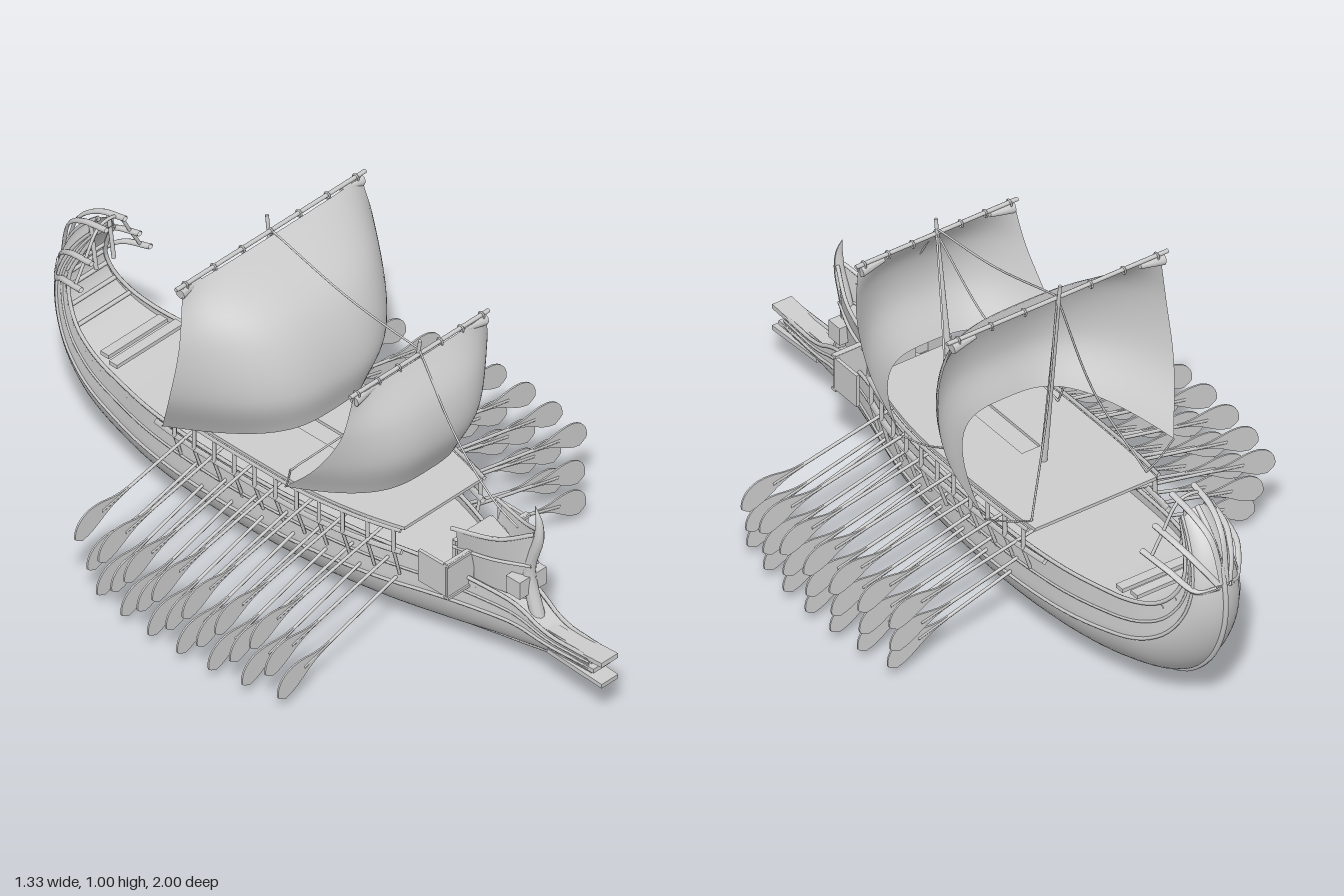
import * as THREE from 'three';

const timber = new THREE.MeshStandardMaterial({ color: 0xcccccc, side: THREE.DoubleSide });
timber.name = 'pale grey';
const V = (x, y, z) => new THREE.Vector3(x, y, z);
const curve = (pts) => new THREE.CatmullRomCurve3(pts.map((p) => V(...p)));

// Surface from a rule f(u, v), u and v in 0..1
function grid(f, nu, nv) {
  const pos = [], idx = [];
  for (let i = 0; i <= nu; i++) for (let j = 0; j <= nv; j++) {
    const p = f(i / nu, j / nv);
    pos.push(p.x, p.y, p.z);
    if (i < nu && j < nv) {
      const a = i * (nv + 1) + j, b = a + nv + 1;
      idx.push(a, b, a + 1, b, b + 1, a + 1);
    }
  }
  const g = new THREE.BufferGeometry();
  g.setAttribute('position', new THREE.Float32BufferAttribute(pos, 3));
  g.setIndex(idx);
  g.computeVertexNormals();
  return g;
}

export function createModel() {
  const ship = new THREE.Group();
  ship.name = 'galley';
  const add = (name, geo, parent = ship) => {
    const m = new THREE.Mesh(geo, timber);
    m.name = name;
    parent.add(m);
    return m;
  };
  const box = (name, w, h, d, x, y, z) => {
    const m = add(name, new THREE.BoxGeometry(w, h, d));
    m.position.set(x, y, z);
    return m;
  };
  const tube = (name, pts, r, seg = 24, sides = 6) =>
    add(name, new THREE.TubeGeometry(curve(pts), seg, r, sides));
  const rod = (name, a, b, r0, r1 = r0, sides = 8) => {
    const p = V(...a), q = V(...b), d = q.clone().sub(p);
    const m = add(name, new THREE.CylinderGeometry(r1, r0, d.length(), sides));
    m.position.copy(p).add(q).multiplyScalar(0.5);
    m.quaternion.setFromUnitVectors(V(0, 1, 0), d.normalize());
    return m;
  };

  // Hull stations: half width, keel y, keel z, gunwale y, gunwale z
  const stations = [
    [0.028, 0.13, 0.95, 0.2, 0.95], [0.035, 0.12, 0.8, 0.205, 0.8], [0.045, 0.1, 0.7, 0.25, 0.7],
    [0.065, 0.08, 0.6, 0.27, 0.6], [0.105, 0.05, 0.45, 0.295, 0.45], [0.147, 0.03, 0.3, 0.305, 0.3],
    [0.179, 0.012, 0.1, 0.31, 0.1], [0.192, 0.003, -0.1, 0.31, -0.1], [0.194, 0.003, -0.3, 0.312, -0.3],
    [0.182, 0.015, -0.5, 0.318, -0.5], [0.158, 0.04, -0.66, 0.322, -0.63], [0.133, 0.1, -0.82, 0.335, -0.75],
    [0.108, 0.2, -0.925, 0.37, -0.84], [0.085, 0.33, -0.985, 0.425, -0.89], [0.07, 0.45, -0.992, 0.485, -0.905],
    [0.058, 0.54, -0.965, 0.53, -0.89], [0.048, 0.61, -0.915, 0.575, -0.87], [0.04, 0.655, -0.865, 0.62, -0.845],
  ];
  const keel = curve(stations.map((s) => [s[0], s[1], s[2]]));
  const gunwale = curve(stations.map((s) => [0, s[3], s[4]]));
  function hullPoint(s, t, grow = 1) {
    const k = keel.getPoint(s), g = gunwale.getPoint(s), a = Math.abs(t);
    const q = Math.min(1, a / 0.7), e = Math.max(0, (a - 0.7) / 0.3);
    const h = 0.56 * Math.pow(q, 1.5) + 0.44 * e;
    const wide = 0.7 * Math.sin(q * Math.PI / 2) + 0.3 * q - 0.03 * e;
    return V(Math.sign(t) * k.x * wide * grow, k.y + (g.y - k.y) * h, k.z + (g.z - k.z) * h);
  }
  add('hull', grid((u, v) => hullPoint(u, v * 2 - 1), 90, 40));
  add('lowerDeck', grid((u, v) => {
    const p = hullPoint(u, 0.93);
    p.x *= 1 - 2 * v;
    return p;
  }, 90, 2));
  for (const side of [-1, 1]) for (const [t, r] of [[0.7, 0.005], [0.84, 0.004], [1, 0.006]]) {
    const pts = [];
    for (let i = 0; i <= 40; i++) pts.push(hullPoint(i / 40, t * side, 1.01).toArray());
    tube('wale', pts, r, 90, 5);
  }
  const keelPts = [];
  for (let i = 0; i <= 40; i++) {
    const p = hullPoint(i / 40, 0);
    keelPts.push([0, Math.max(p.y, 0.008), p.z]);
  }
  tube('keel', keelPts, 0.008, 90, 6);

  // Ram with three splayed fins
  box('ramCore', 0.036, 0.07, 0.17, 0, 0.165, 0.865);
  [[0.138, 0.2], [0.166, 0.17], [0.195, 0.2]].forEach(([y, len], i) => {
    box('ramFin', 0.062, 0.014, len, 0, y, 0.8 + len / 2).rotation.x = (1 - i) * 0.06;
  });
  box('upperRam', 0.1, 0.055, 0.05, 0, 0.305, 0.695);

  // Forecastle: flared bulwarks meeting at the stem
  for (const side of [-1, 1]) {
    add('bowBulwark', grid((u, v) => V(
      side * (0.008 + (0.045 + 0.034 * v) * Math.pow(u, 0.75)),
      0.25 + v * (0.205 - 0.035 * u + 0.03 * (1 - u) ** 4),
      0.71 + 0.025 * v - 0.21 * u), 12, 8));
    tube('bowRail', [[side * 0.01, 0.48, 0.735], [side * 0.05, 0.436, 0.64], [side * 0.087, 0.42, 0.505]], 0.006);
    tube('bowMoulding', [[side * 0.012, 0.37, 0.725], [side * 0.052, 0.36, 0.62], [side * 0.074, 0.35, 0.5]], 0.005);
    // Ear timber boxes beside the bow
    box('earFront', 0.1, 0.115, 0.012, side * 0.102, 0.305, 0.55);
    box('earSide', 0.01, 0.1, 0.1, side * 0.149, 0.305, 0.5);
    for (const y of [0.252, 0.358]) box('earFrame', 0.105, 0.008, 0.018, side * 0.102, y, 0.552);
  }
  const foreDeck = new THREE.Shape([[-0.075, 0.5], [0.075, 0.5], [0.008, 0.71], [-0.008, 0.71]]
    .map((p) => new THREE.Vector2(...p)));
  const fd = add('foreDeck', new THREE.ShapeGeometry(foreDeck));
  fd.rotation.x = Math.PI / 2;
  fd.position.y = 0.37;
  box('foreBulkhead', 0.14, 0.1, 0.01, 0, 0.32, 0.5);
  const stem = curve([[0, 0.2, 0.74], [0, 0.34, 0.705], [0, 0.46, 0.74], [0, 0.52, 0.742], [0, 0.565, 0.728]]);
  add('stemPost', grid((u, v) => {
    const p = stem.getPoint(u), a = v * Math.PI * 2, r = 0.019 * (1 - u * u) + 0.001;
    return V(p.x + r * Math.cos(a), p.y, p.z + r * Math.sin(a));
  }, 20, 10));

  // Stern ornament: boards fanning forward and outward, joined by crossbars
  const fan = [[-0.13, 0.525], [-0.09, 0.59], [-0.035, 0.67], [0.035, 0.67], [0.09, 0.59], [0.13, 0.525]];
  for (const [x, y] of fan) {
    const path = curve([[x * 0.15, 0.47, -0.99], [x * 0.5, y - 0.07, -0.955], [x * 0.85, y - 0.02, -0.89], [x, y, -0.8]]);
    add('sternBoard', grid((u, v) => {
      const p = path.getPoint(u), a = v * Math.PI * 2;
      return V(p.x + 0.009 * Math.cos(a), p.y + 0.008 * Math.sin(a), p.z);
    }, 16, 8));
  }
  tube('sternCrossbar', fan.map(([x, y]) => [x * 0.95, y - 0.006, -0.83]), 0.005);
  for (const x of [-0.03, 0.03]) rod('sternStrut', [x * 1.1, 0.52, -0.84], [x * 1.1, 0.655, -0.86], 0.006);
  for (const [z, w] of [[-0.69, 0.25], [-0.735, 0.22]]) box('sternBench', w, 0.012, 0.03, 0, 0.335, z);
  for (const s of [0.71, 0.75, 0.79, 0.83, 0.87]) {
    rod('sternRib', hullPoint(s, 0.95).toArray(), hullPoint(s, -0.95).toArray(), 0.006);
  }

  // Upper deck with a long central opening
  const sideX = (z) => 0.22 - (z > 0 ? 0.06 * (z / 0.38) ** 2 : 0.05 * (z / 0.6) ** 4);
  const plan = new THREE.Shape(), zs = [];
  for (let i = 0; i <= 16; i++) zs.push(0.39 - i * 0.05);
  const deckX = (z) => sideX(z) - 0.014;
  zs.forEach((z, i) => (i ? plan.lineTo(deckX(z), z) : plan.moveTo(deckX(z), z)));
  zs.slice().reverse().forEach((z) => plan.lineTo(-deckX(z), z));
  const slot = new THREE.Path();
  slot.moveTo(-0.03, -0.12).lineTo(0.03, -0.12).lineTo(0.03, 0.18).lineTo(-0.03, 0.18).closePath();
  plan.holes.push(slot);
  const deck = add('upperDeck', new THREE.ExtrudeGeometry(plan, { depth: 0.01, bevelEnabled: false }));
  deck.rotation.x = Math.PI / 2;
  deck.position.y = 0.392;

  // Side galleries: rails, posts and curved brackets
  for (const side of [-1, 1]) {
    const line = (y, z0, z1, out) => Array.from({ length: 17 }, (_, i) => {
      const z = z0 + (z1 - z0) * i / 16;
      return [side * (sideX(z) + out), y, z];
    });
    tube('deckRail', line(0.387, 0.39, -0.4, 0), 0.007, 40, 4);
    tube('outriggerRail', line(0.315, 0.39, -0.46, -0.004), 0.01, 40, 4);
    for (let i = 0; i < 11; i++) {
      const z = 0.37 - i * 0.075, x = side * sideX(z);
      rod('deckPost', [x, 0.315, z], [x, 0.387, z], 0.006, 0.006, 6);
      tube('bracket', [[x, 0.315, z], [x * 0.92, 0.265, z], [x * 0.86, 0.225, z]], 0.005, 6, 5);
    }
  }

  // Oars: three banks each side
  const banks = [
    { x: 0.17, y: 0.34, ang: 0.21, len: 0.352, z: 0.3 },
    { x: 0.165, y: 0.26, ang: 0.25, len: 0.335, z: 0.325 },
    { x: 0.14, y: 0.213, ang: 0.3, len: 0.352, z: 0.35 },
  ];
  const blade = new THREE.Shape();
  blade.moveTo(-0.05, 0.005);
  blade.bezierCurveTo(0.02, 0.008, 0.03, 0.035, 0.09, 0.038);
  blade.bezierCurveTo(0.13, 0.037, 0.155, 0.012, 0.157, -0.018);
  blade.bezierCurveTo(0.15, -0.03, 0.145, -0.03, 0.135, -0.04);
  blade.bezierCurveTo(0.07, -0.043, 0.05, -0.005, -0.05, -0.005);
  const bladeGeo = new THREE.ExtrudeGeometry(blade, { depth: 0.005, bevelEnabled: false, curveSegments: 8 });
  bladeGeo.translate(0, 0, -0.0025);
  for (const side of [-1, 1]) for (const b of banks) for (let i = 0; i < 7; i++) {
    const z = b.z - i * 0.108, oar = new THREE.Group();
    oar.name = 'oar';
    const shaft = add('oarShaft', new THREE.CylinderGeometry(0.005, 0.005, b.len + 0.05, 6), oar);
    shaft.rotation.z = Math.PI / 2;
    shaft.position.x = (b.len + 0.05) / 2;
    add('oarBlade', bladeGeo, oar).position.x = b.len;
    oar.rotation.order = 'YZX';
    oar.rotation.set(0, side < 0 ? Math.PI : 0, -b.ang);
    oar.position.set(side * (b.x - 0.045 * (z / 0.35) ** 2), b.y, z);
    ship.add(oar);
  }

  // Masts, yards and billowing sails; edge and centre rows run from top to bottom
  const rigs = [
    { name: 'main', yard: 0.355, y: 0.955, z: -0.237, foot: [0, 0.3, -0.165], head: [0, 1, -0.25],
      edge: [[0.335, 0.95, -0.232], [0.366, 0.78, -0.215], [0.366, 0.6, -0.25], [0.305, 0.425, -0.335]],
      mid: [[0, 0.95, -0.225], [0, 0.81, -0.045], [0, 0.62, 0.024], [0, 0.49, -0.005]], stay: [0.185, 0.395, -0.38] },
    { name: 'fore', yard: 0.26, y: 0.84, z: 0.305, foot: [0, 0.3, 0.225], head: [0, 0.885, 0.308],
      edge: [[0.25, 0.835, 0.308], [0.272, 0.7, 0.285], [0.286, 0.57, 0.21], [0.275, 0.435, 0.085]],
      mid: [[0, 0.835, 0.312], [0, 0.72, 0.38], [0, 0.6, 0.39], [0, 0.47, 0.335]], stay: [0.18, 0.395, 0.01] },
  ];
  for (const r of rigs) {
    rod(r.name + 'Mast', r.foot, r.head, 0.011, 0.005, 10);
    rod(r.name + 'Yard', [-r.yard, r.y, r.z], [r.yard, r.y, r.z], 0.006);
    const e = curve(r.edge), m = curve(r.mid);
    add(r.name + 'Sail', grid((u, v) => {
      const p = e.getPoint(v), q = m.getPoint(v), s = u * 2 - 1, k = Math.abs(s) ** 3.2;
      return V(s * p.x, q.y + (p.y - q.y) * k, q.z + (p.z - q.z) * k);
    }, 36, 20));
    for (let i = -3; i <= 3; i++) {
      const ring = add('lashing', new THREE.TorusGeometry(0.01, 0.003, 5, 10));
      ring.rotation.y = Math.PI / 2;
      ring.position.set(i * r.yard * 0.3, r.y - 0.003, r.z);
    }
    for (const side of [-1, 1]) {
      rod('furledEnd', [side * (r.yard - 0.015), r.y - 0.02, r.z], [side * (r.yard - 0.09), r.y - 0.012, r.z], 0.017, 0.008);
      const [x, y, z] = r.stay, c = r.edge[3];
      tube('backstay', [[0, r.y, r.z], [side * x * 0.42, (r.y + y) / 2 - 0.03, r.z * 0.5 + z * 0.5 + 0.01], [side * x, y, z]], 0.003);
      tube('sheet', [[side * c[0], c[1], c[2]], [side * (c[0] + x) / 2, 0.405, (c[2] + z) / 2], [side * x, y, z]], 0.0025);
    }
  }
  tube('forestay', [[0, 0.46, 0.665], [0, 0.5, 0.58], [0, 0.63, 0.445], [0, 0.855, 0.305]], 0.003);
  tube('mastStay', [[0, 0.855, 0.305], [0, 0.885, 0.05], [0, 0.96, -0.24]], 0.003);
  return ship;
}
